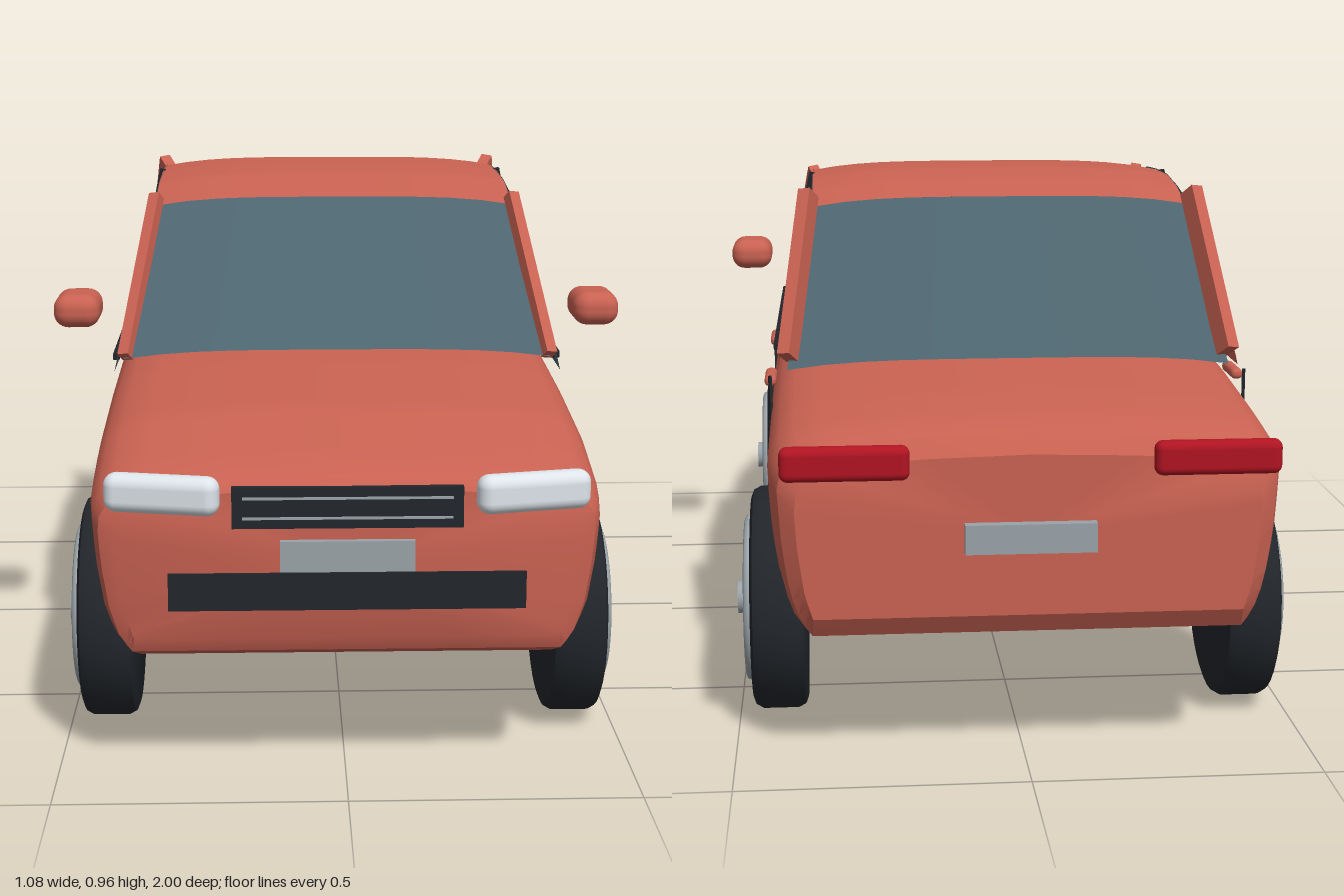
import * as THREE from 'three';
import { toCreasedNormals } from 'three/addons/utils/BufferGeometryUtils.js';
import { RoundedBoxGeometry } from 'three/addons/geometries/RoundedBoxGeometry.js';

const mat = (color, side = THREE.FrontSide) => new THREE.MeshStandardMaterial({ color, side });
const red = mat(0xc96252), redSheet = mat(0xc96252, THREE.DoubleSide);
const glass = mat(0x4e6670, THREE.DoubleSide);
const dark = mat(0x22262b), silver = mat(0x9aa3a8), lamp = mat(0xdde4ea), tail = mat(0xb01422);

const WHEELS = [0.565, -0.58], AXLE_Y = 0.21, ARCH_Y = 0.215, ARCH_R = 0.22;

// piecewise linear lookup in [[key, value], ...] with rising keys
function lookup(table, k) {
  if (k <= table[0][0]) return table[0][1];
  for (let i = 1; i < table.length; i++) {
    const [k0, v0] = table[i - 1], [k1, v1] = table[i];
    if (k <= k1) return v0 + (v1 - v0) * (k - k0) / (k1 - k0);
  }
  return table[table.length - 1][1];
}

const SIDE = [[0.23, 0.355], [0.245, 0.378], [0.27, 0.398], [0.32, 0.416], [0.4, 0.429], [0.5, 0.436], [0.57, 0.435]];
const TOP = [[-0.9, 0.6], [-0.75, 0.62], [-0.5, 0.643], [-0.3, 0.655], [0, 0.655], [0.2, 0.645], [0.4, 0.635], [0.68, 0.61], [0.9, 0.56]];
const ROOF = [[-0.4, 0.925], [-0.3, 0.95], [-0.2, 0.964], [-0.08, 0.964], [0.05, 0.957], [0.2, 0.925]];

function add(parent, name, geometry, material, x = 0, y = 0, z = 0) {
  const mesh = new THREE.Mesh(geometry, material);
  mesh.name = name;
  mesh.position.set(x, y, z);
  parent.add(mesh);
  return mesh;
}

// square bar between two points
function bar(parent, name, a, b, w, d, material) {
  const p = new THREE.Vector3(...a), q = new THREE.Vector3(...b);
  const mesh = add(parent, name, new THREE.BoxGeometry(w, p.distanceTo(q), d), material);
  mesh.position.copy(p).add(q).multiplyScalar(0.5);
  mesh.quaternion.setFromUnitVectors(new THREE.Vector3(0, 1, 0), q.sub(p).normalize());
  return mesh;
}

// curved sheet from fn(u, v), u in -1..1 and v in 0..1
function sheet(fn, nu = 12, nv = 10) {
  const g = new THREE.PlaneGeometry(2, 1, nu, nv), p = g.attributes.position;
  for (let i = 0; i < p.count; i++) p.setXYZ(i, ...fn(p.getX(i), p.getY(i) + 0.5));
  g.computeVertexNormals();
  return g;
}

// one closed body section, counter-clockwise seen from the front
function section({ z, yb, yt, sx }) {
  const half = [], shoulder = yt - 0.09;
  half.push([lookup(SIDE, yb) * 0.55, yb]);
  for (let i = 0; i <= 8; i++) {
    const y = yb + (shoulder - yb) * (i / 8) ** 1.4;
    half.push([lookup(SIDE, y), y]);
  }
  for (const [x, d] of [[0.43, 0.065], [0.415, 0.043], [0.39, 0.026], [0.34, 0.015], [0.2, 0.005]]) half.push([x, yt - d]);
  const left = half.map(([x, y]) => [x * sx, y, z]);
  const right = left.map(([x, y]) => [-x, y, z]).reverse();
  return [[0, yb, z], ...left, [0, yt, z], ...right];
}

function bodyGeometry() {
  const st = [
    { z: 0.94, yb: 0.27, yt: 0.53, sx: 0.9 }, { z: 0.928, yb: 0.245, yt: 0.547, sx: 0.96 },
    { z: 0.9, yb: 0.23, yt: 0.56, sx: 0.985 }, { z: -0.9, yb: 0.235, yt: 0.6, sx: 0.985 },
    { z: -0.935, yb: 0.245, yt: 0.587, sx: 0.96 }, { z: -0.957, yb: 0.28, yt: 0.555, sx: 0.9 },
  ];
  const stop = (z, yb) => st.push({ z, yb, yt: lookup(TOP, z), sx: 1 });
  [0.84, 0.3, 0.2, 0.1, 0, -0.1, -0.2, -0.3, -0.84].forEach(z => stop(z, 0.23));
  // wheel arches cut right across the underside
  const a0 = Math.asin((0.23 - ARCH_Y) / ARCH_R);
  for (const c of WHEELS) for (let i = 0; i <= 20; i++) {
    const a = a0 + (Math.PI - 2 * a0) * i / 20;
    stop(c + ARCH_R * Math.cos(a), ARCH_Y + ARCH_R * Math.sin(a));
  }
  st.sort((a, b) => b.z - a.z);
  const rings = st.map(section), n = rings[0].length, pos = rings.flat(2), idx = [];
  for (let r = 0; r < rings.length - 1; r++) for (let i = 0; i < n; i++) {
    const j = (i + 1) % n, a = r * n, b = a + n;
    idx.push(b + i, b + j, a + i, b + j, a + j, a + i);
  }
  // flat nose and tail
  const last = (rings.length - 1) * n, c = rings.length * n;
  pos.push(0, 0.4, 0.94, 0, 0.42, -0.957);
  for (let i = 0; i < n; i++) {
    const j = (i + 1) % n;
    idx.push(c, i, j, c + 1, last + j, last + i);
  }
  const g = new THREE.BufferGeometry();
  g.setAttribute('position', new THREE.Float32BufferAttribute(pos, 3));
  g.setIndex(idx);
  return toCreasedNormals(g, 0.55);
}

// flat outline in (z, y) laid on the sloping cabin side
const cabinX = y => 0.42 - (y - 0.64) * 0.22;
function cabinSide(points, s, out = 0) {
  const g = new THREE.ShapeGeometry(new THREE.Shape(points.map(p => new THREE.Vector2(...p))));
  const p = g.attributes.position;
  for (let i = 0; i < p.count; i++) p.setXYZ(i, s * (cabinX(p.getY(i)) + out), p.getY(i), p.getX(i));
  g.computeVertexNormals();
  return g;
}

function wheel(s) {
  const g = new THREE.Group();
  const profile = [[0, -0.05], [0.185, -0.05], [0.198, -0.045], [0.205, -0.032], [0.205, 0.032], [0.198, 0.045],
    [0.185, 0.05], [0.155, 0.05], [0.145, 0.042], [0, 0.042]].map(p => new THREE.Vector2(...p));
  add(g, 'tyre', toCreasedNormals(new THREE.LatheGeometry(profile, 40), 0.6), dark);
  const ring = add(g, 'rim', new THREE.TorusGeometry(0.144, 0.009, 8, 40), silver, 0, 0.054, 0);
  ring.rotation.x = Math.PI / 2;
  add(g, 'hub', new THREE.CylinderGeometry(0.03, 0.03, 0.035, 20), silver, 0, 0.06, 0);
  for (let i = 0; i < 10; i++) {
    const a = i * Math.PI / 5, c = Math.cos(a), d = Math.sin(a);
    bar(g, 'spoke', [0.02 * c, 0.057, 0.02 * d], [0.144 * c, 0.057, 0.144 * d], 0.009, 0.009, silver);
  }
  g.rotation.z = -s * Math.PI / 2;
  return g;
}

export function createModel() {
  const car = new THREE.Group();
  car.name = 'car';
  add(car, 'body', bodyGeometry(), red);

  // cabin
  add(car, 'roof', sheet((u, v) => {
    const z = 0.2 - 0.6 * v;
    return [0.355 * u, lookup(ROOF, z) - 0.018 * u ** 4, z];
  }, 16, 24), redSheet);
  const screen = (z0, y0, z1, y1) => sheet((u, v) => [
    u * (0.405 - 0.055 * v), y0 + (y1 - y0) * v - 0.016 * u ** 4, z0 + (z1 - z0) * v]);
  add(car, 'windscreen', screen(0.43, 0.662, 0.2, 0.925), glass);
  add(car, 'rearWindow', screen(-0.585, 0.648, -0.4, 0.925), glass);

  // nose and tail details
  const box = (name, w, h, d, m, y, z) => add(car, name, new THREE.BoxGeometry(w, h, d), m, 0, y, z);
  box('grille', 0.385, 0.07, 0.02, dark, 0.499, 0.938);
  box('grilleSlat', 0.35, 0.004, 0.004, silver, 0.516, 0.949);
  box('grilleSlat', 0.35, 0.004, 0.004, silver, 0.482, 0.949);
  box('lowerIntake', 0.6, 0.065, 0.012, dark, 0.353, 0.938);
  box('frontPlate', 0.225, 0.053, 0.015, silver, 0.416, 0.945);
  box('rearPlate', 0.22, 0.05, 0.022, silver, 0.416, -0.965);

  for (const s of [1, -1]) {
    const side = s > 0 ? 'left' : 'right';
    add(car, side + 'SideWindow', cabinSide([[0.43, 0.62], [0.42, 0.66], [0.2, 0.912], [0.05, 0.942],
      [-0.08, 0.948], [-0.2, 0.948], [-0.3, 0.934], [-0.4, 0.91], [-0.4, 0.63]], s), glass);
    add(car, side + 'RearPanel', cabinSide([[-0.4, 0.91], [-0.4, 0.63], [-0.585, 0.63], [-0.585, 0.65]], s), redSheet);
    bar(car, side + 'FrontPillar', [s * 0.352, 0.928, 0.2], [s * 0.403, 0.65, 0.43], 0.022, 0.024, red);
    bar(car, side + 'RearPillar', [s * 0.362, 0.935, -0.41], [s * 0.403, 0.655, -0.585], 0.024, 0.04, red);
    bar(car, side + 'CentrePillar', [s * 0.419, 0.65, -0.115], [s * 0.356, 0.948, -0.108], 0.012, 0.02, dark);
    bar(car, side + 'WindowSill', [s * 0.424, 0.64, 0.38], [s * 0.424, 0.66, -0.5], 0.012, 0.012, dark);

    // door seams and handles
    const seam = (y0, z0, y1, z1) => bar(car, side + 'DoorSeam',
      [s * (lookup(SIDE, y0) + 0.001), y0, z0], [s * (lookup(SIDE, y1) + 0.001), y1, z1], 0.005, 0.005, dark);
    seam(0.61, -0.14, 0.48, -0.152);
    seam(0.48, -0.152, 0.345, -0.165);
    seam(0.345, -0.165, 0.34, 0.2);
    seam(0.34, -0.24, 0.34, -0.39);
    seam(0.62, -0.575, 0.43, -0.59);
    for (const z of [-0.035, -0.47])
      add(car, side + 'DoorHandle', new RoundedBoxGeometry(0.022, 0.02, 0.095, 3, 0.009), red, s * 0.437, 0.598, z);

    // mirrors and lamps
    add(car, side + 'Mirror', new RoundedBoxGeometry(0.088, 0.064, 0.12, 4, 0.028), red, s * 0.497, 0.73, 0.345);
    const head = add(car, side + 'Headlight', new RoundedBoxGeometry(0.195, 0.066, 0.045, 4, 0.021), lamp, s * 0.307, 0.528, 0.957);
    head.rotation.y = s * 0.21;
    add(car, side + 'TailLight', new RoundedBoxGeometry(0.212, 0.058, 0.032, 4, 0.014), tail, s * 0.307, 0.552, -0.984);

    WHEELS.forEach((z, i) => {
      const w = wheel(s);
      w.name = side + (i ? 'RearWheel' : 'FrontWheel');
      w.position.set(s * 0.425, AXLE_Y - 0.004, z);
      car.add(w);
    });
  }
  return car;
}
